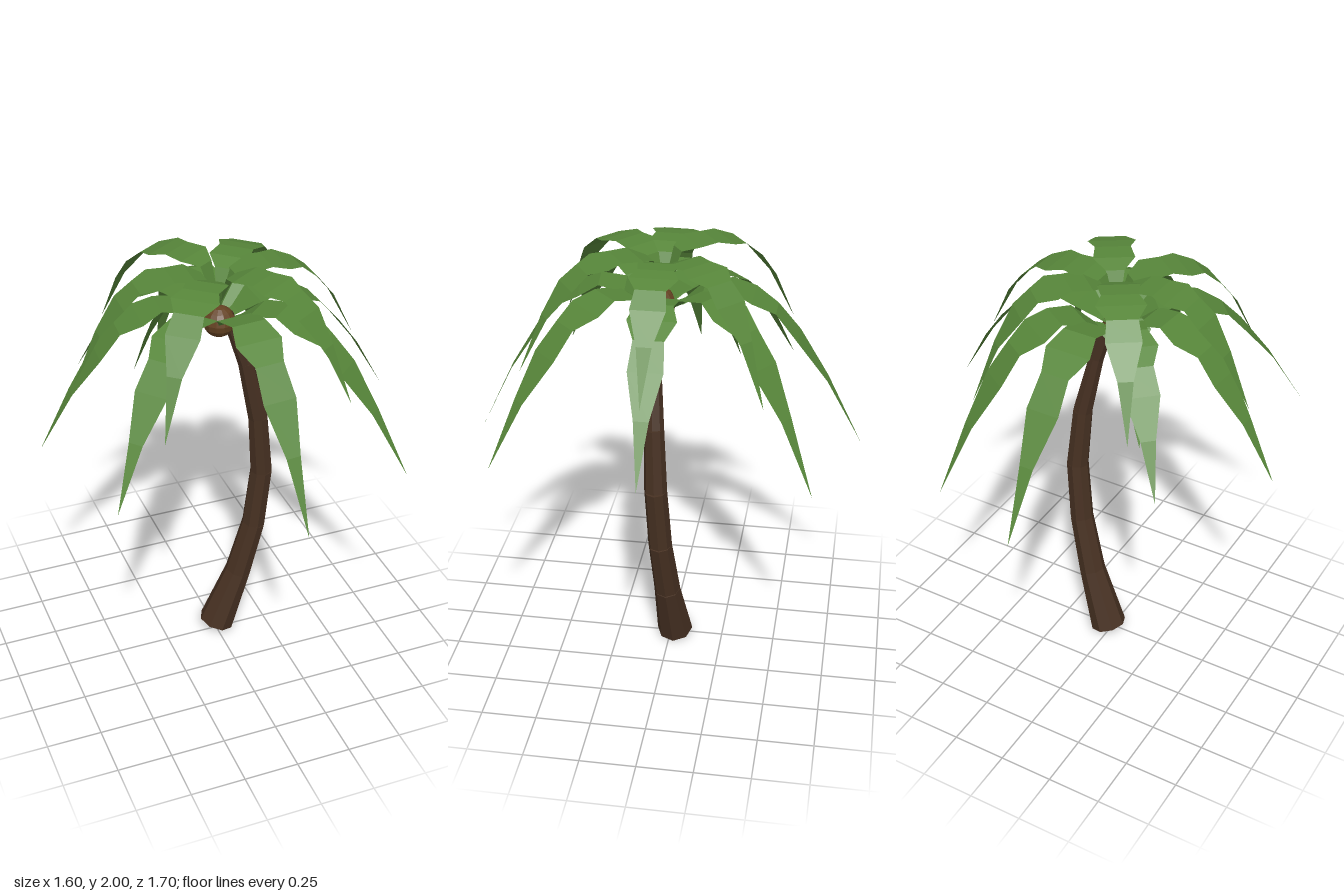
import * as THREE from 'three';

const bark = new THREE.MeshStandardMaterial({ color: 0x473122, flatShading: true });
const nutBrown = new THREE.MeshStandardMaterial({ color: 0x644222, flatShading: true });
const leaf = new THREE.MeshStandardMaterial({ color: 0x57863a, flatShading: true, side: THREE.DoubleSide });

// Straight tapered trunk piece between two points
function trunkSegment(a, b, ra, rb) {
  const dir = b.clone().sub(a);
  const mesh = new THREE.Mesh(new THREE.CylinderGeometry(rb, ra, dir.length(), 8), bark);
  mesh.position.copy(a).add(b).multiplyScalar(0.5);
  mesh.quaternion.setFromUnitVectors(new THREE.Vector3(0, 1, 0), dir.normalize());
  mesh.name = 'trunkSegment';
  return mesh;
}

// Frond outline: [fraction of reach, fraction of drop, width]
const outline = [
  [0.1, 0.13, 0.08], [0.2, 0.03, 0.18], [0.335, 0, 0.155], [0.443, 0.06, 0.21],
  [0.557, 0.14, 0.13], [0.67, 0.31, 0.15], [0.82, 0.58, 0.065], [1, 1, 0],
];
const crownX = 0, crownZ = 0.03;

// Flat drooping strip from the crown out to a tip; a higher arch drops later
function frond([x, y, z], rootY, topY, arch, name) {
  const dx = x - crownX, dz = z - crownZ, reach = Math.hypot(dx, dz);
  const sx = -dz / reach, sz = dx / reach;
  const pos = [], index = [];
  const row = (f, py, w) => {
    for (const s of [-0.5, 0.5]) {
      pos.push(crownX + dx * f + sx * w * s, py, crownZ + dz * f + sz * w * s);
    }
  };
  row(0.01, rootY, 0.03);
  for (const [f, d, w] of outline) row(f, topY - (topY - y) * d ** arch, w);
  for (let i = 0; i < outline.length; i++) {
    const a = i * 2;
    index.push(a, a + 1, a + 2);
    if (i < outline.length - 1) index.push(a + 1, a + 3, a + 2);
  }
  const geo = new THREE.BufferGeometry();
  geo.setAttribute('position', new THREE.Float32BufferAttribute(pos, 3));
  geo.setIndex(index);
  geo.computeVertexNormals();
  const mesh = new THREE.Mesh(geo, leaf);
  mesh.name = name;
  return mesh;
}

export function createModel() {
  const group = new THREE.Group();
  group.name = 'palmTree';

  // Curved trunk: x, y, z, radius at each joint
  const joints = [
    [0.01, 0.025, -0.022, 0.085], [0.113, 0.325, 0, 0.062], [0.181, 0.61, 0.022, 0.055],
    [0.209, 0.91, 0.037, 0.052], [0.183, 1.21, 0.048, 0.046], [0.115, 1.51, 0.06, 0.035],
    [0.03, 1.76, 0.055, 0.027],
  ];
  const trunk = new THREE.Group();
  trunk.name = 'trunk';
  for (let i = 0; i < joints.length - 1; i++) {
    const [a, b] = [joints[i], joints[i + 1]];
    trunk.add(trunkSegment(new THREE.Vector3(...a), new THREE.Vector3(...b), a[3], b[3]));
  }
  group.add(trunk);

  // Coconut under the crown
  const nut = new THREE.Mesh(new THREE.SphereGeometry(0.07, 12, 8), nutBrown);
  nut.position.set(-0.005, 1.73, 0.05);
  nut.name = 'coconut';
  group.add(nut);

  // Long lower fronds, by tip position
  const lowerTips = [
    [0.01, 1.13, -0.85], [0.48, 1.1, -0.67], [0.8, 1.25, 0.02], [0.605, 1.19, 0.685],
    [0.08, 1.11, 0.85], [-0.65, 1.24, 0.59], [-0.8, 1.22, -0.03], [-0.49, 1.31, -0.51],
  ];
  // Shorter upper fronds: tip position and height of the arch
  const upperFronds = [
    [[0.43, 1.47, -0.45], 1.97], [[0.64, 1.54, 0.03], 1.97], [[0.37, 1.54, 0.59], 1.98],
    [[-0.43, 1.5, 0.55], 1.97], [[-0.65, 1.52, 0.01], 1.97], [[-0.36, 1.55, -0.51], 2],
  ];
  const crown = new THREE.Group();
  crown.name = 'crown';
  for (const tip of lowerTips) crown.add(frond(tip, 1.72, 1.84, 1, 'lowerFrond'));
  for (const [tip, topY] of upperFronds) crown.add(frond(tip, 1.8, topY, 1.35, 'upperFrond'));
  crown.add(frond([-0.29, 1.37, -0.28], 1.72, 1.83, 1, 'smallFrond'));
  group.add(crown);
  return group;
}
